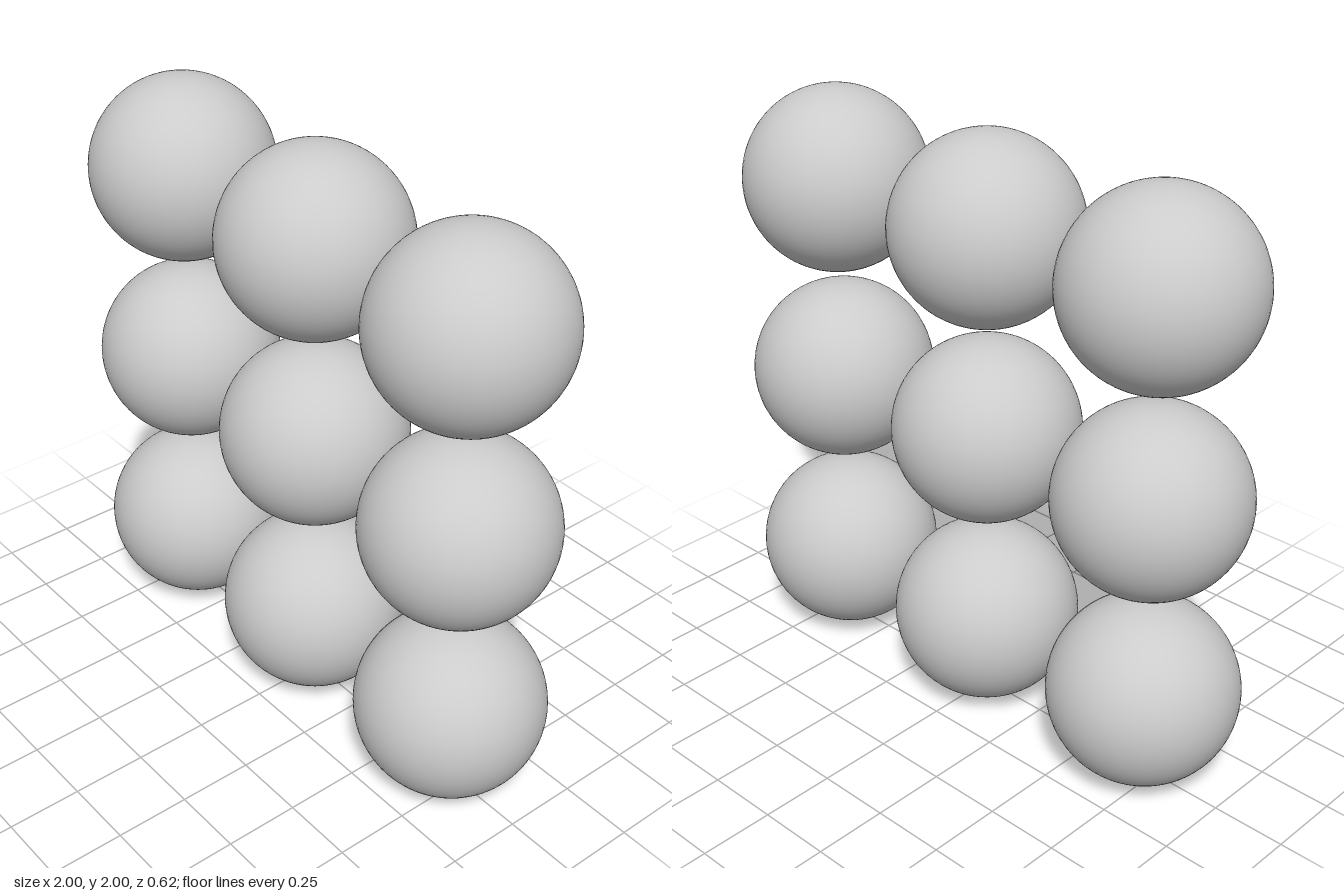
import * as THREE from 'three';

const RADIUS = 0.3125;
const SPACING = 2.2 * RADIUS;

export function createModel() {
  const model = new THREE.Group();
  model.name = 'sphereGrid';

  const geometry = new THREE.SphereGeometry(RADIUS, 64, 48);
  const material = new THREE.MeshStandardMaterial({ color: 0xcccccc });
  const rows = ['bottom', 'middle', 'top'];
  const columns = ['Right', 'Centre', 'Left'];

  // Three by three upright grid of separate balls
  rows.forEach((row, j) => {
    columns.forEach((column, i) => {
      const ball = new THREE.Mesh(geometry, material);
      ball.name = `${row}${column}Ball`;
      ball.position.set((i - 1) * SPACING, RADIUS + j * SPACING, 0);
      model.add(ball);
    });
  });

  return model;
}
